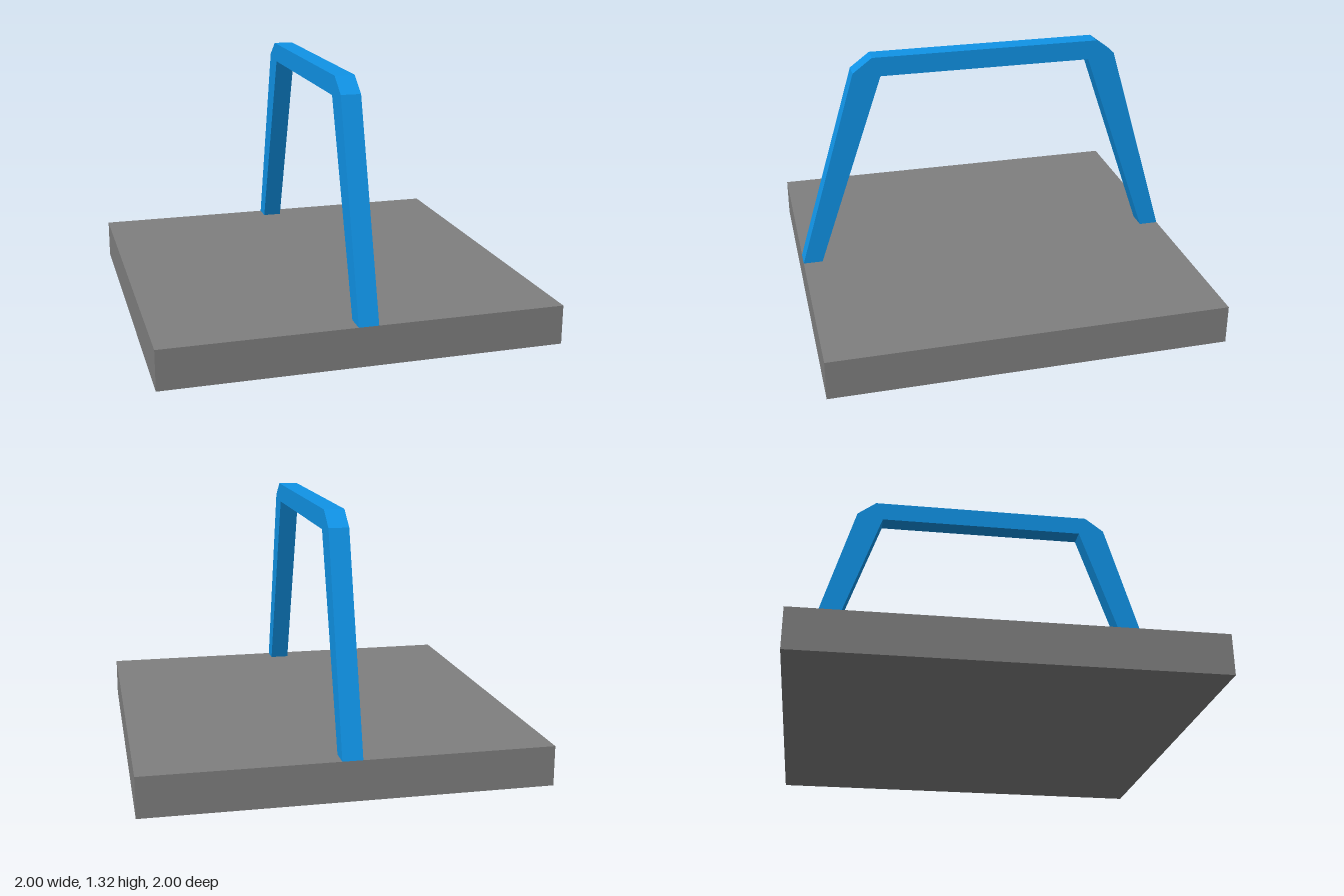
import * as THREE from 'three';

export function createModel() {
  const model = new THREE.Group();
  const grey = new THREE.MeshStandardMaterial({ name: 'grey', color: 0x7f7f7f });
  const blue = new THREE.MeshStandardMaterial({ name: 'blue', color: 0x1093e6 });

  // Square slab
  const base = new THREE.Mesh(new THREE.BoxGeometry(2, 0.2, 2), grey);
  base.name = 'base';
  base.position.y = 0.1;
  model.add(base);

  // Handle outline: one half from the outer foot to the inner foot, then mirrored
  const outer = [[1, 0.2], [0.69, 1.24], [0.59, 1.315]];
  const inner = [[0.55, 1.215], [0.9, 0.2]];
  const mirror = (points) => points.map(([z, y]) => [-z, y]).reverse();
  const outline = [...outer, ...mirror(outer), ...mirror(inner), ...inner];
  const shape = new THREE.Shape(outline.map(([z, y]) => new THREE.Vector2(z, y)));

  // Extrude the profile and turn it to run along z
  const width = 0.1;
  const geometry = new THREE.ExtrudeGeometry(shape, { depth: width, bevelEnabled: false });
  geometry.translate(0, 0, -width / 2);
  geometry.rotateY(Math.PI / 2);
  const handle = new THREE.Mesh(geometry, blue);
  handle.name = 'handle';
  model.add(handle);

  return model;
}
